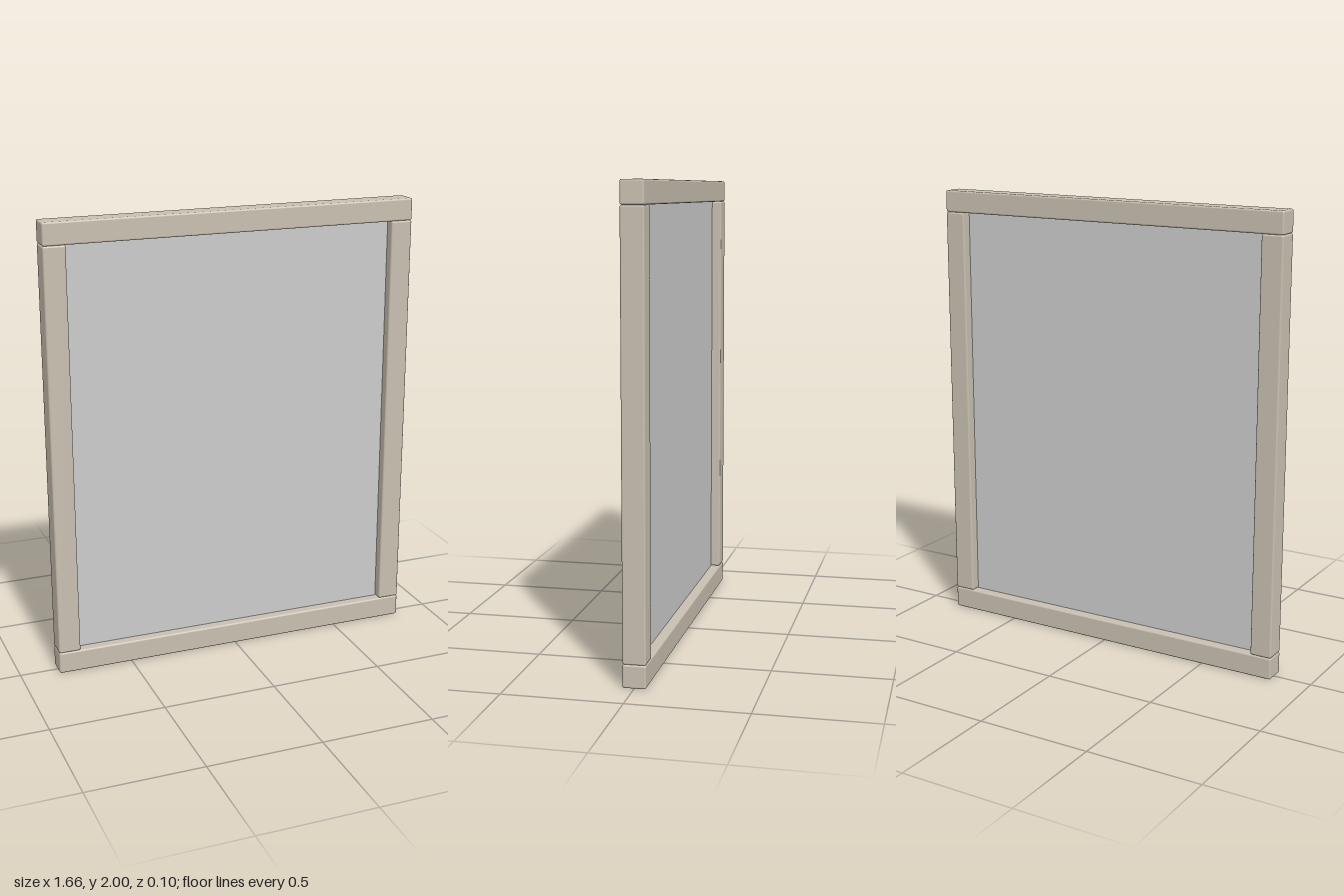
import * as THREE from 'three';
import { RoundedBoxGeometry } from 'three/addons/geometries/RoundedBoxGeometry.js';

const WIDTH = 1.665, HEIGHT = 2, BEAM = 0.097, BEVEL = 0.008;

export function createModel() {
  const group = new THREE.Group();
  const wood = new THREE.MeshStandardMaterial({ color: 0xc8bfb0 });
  const grey = new THREE.MeshStandardMaterial({ color: 0xcccccc });

  const add = (name, geometry, material, x, y) => {
    const mesh = new THREE.Mesh(geometry, material);
    mesh.name = name;
    mesh.position.set(x, y, 0);
    group.add(mesh);
  };

  // Square beams with softened edges
  const beam = (w, h) => new RoundedBoxGeometry(w, h, BEAM, 2, BEVEL);
  const innerHeight = HEIGHT - 2 * BEAM;

  // Full-width rails
  add('bottomRail', beam(WIDTH, BEAM), wood, 0, BEAM / 2);
  add('topRail', beam(WIDTH, BEAM), wood, 0, HEIGHT - BEAM / 2);

  // Side posts between the rails
  for (const [name, side] of [['leftPost', 1], ['rightPost', -1]]) {
    add(name, beam(BEAM, innerHeight), wood, side * (WIDTH - BEAM) / 2, HEIGHT / 2);
  }

  // Thin panel set in the middle of the frame depth
  const panel = new THREE.BoxGeometry(WIDTH - 2 * BEAM + 0.02, innerHeight + 0.02, 0.01);
  add('panel', panel, grey, 0, HEIGHT / 2);

  return group;
}
